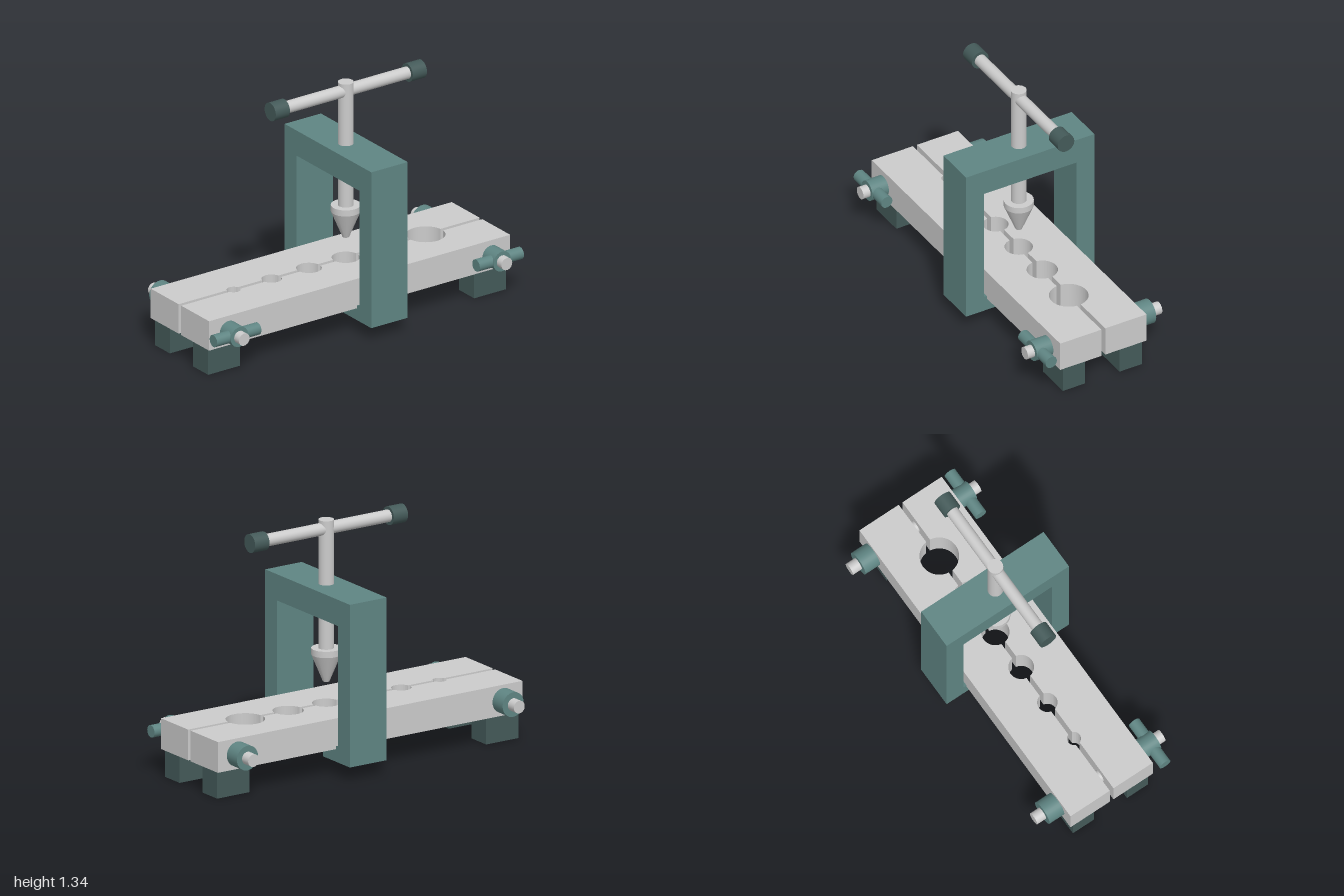
import * as THREE from 'three';
import { toCreasedNormals } from 'three/addons/utils/BufferGeometryUtils.js';

const metal = new THREE.MeshStandardMaterial({ color: 0xcccccc });
const teal = new THREE.MeshStandardMaterial({ color: 0x5f8583 });
const dark = new THREE.MeshStandardMaterial({ color: 0x445a59 });

const CZ = 0.003;       // centre line of the clamp in z
const SCREW_X = 0.1;    // position of the yoke and screw along the bars

export function createModel() {
  const model = new THREE.Group();

  const add = (name, geometry, material, x = 0, y = 0, z = 0) => {
    const mesh = new THREE.Mesh(geometry, material);
    mesh.name = name;
    mesh.position.set(x, y, z);
    model.add(mesh);
    return mesh;
  };
  // Cylinder lying along the x, y or z axis
  const rod = (axis, radius, length) => {
    const g = new THREE.CylinderGeometry(radius, radius, length, 32);
    if (axis === 'x') g.rotateZ(Math.PI / 2);
    if (axis === 'z') g.rotateX(Math.PI / 2);
    return g;
  };

  // Split clamp bars, each with one half of every tube hole: [x, radius]
  const holes = [[-0.63, 0.037], [-0.383, 0.054], [-0.14, 0.068],
    [0.1, 0.075], [0.345, 0.083], [0.62, 0.105]];
  const gap = 0.012;
  const bar = new THREE.Shape();
  bar.moveTo(-0.98, gap);
  for (const [x, r] of holes) {
    const a = Math.asin(gap / r);
    bar.lineTo(x - r * Math.cos(a), gap);
    bar.absarc(x, 0, r, Math.PI - a, a, true);
  }
  bar.lineTo(0.98, gap);
  bar.lineTo(0.98, 0.265);
  bar.lineTo(-0.98, 0.265);
  bar.closePath();
  const barGeometry = () => toCreasedNormals(
    new THREE.ExtrudeGeometry(bar, { depth: 0.17, bevelEnabled: false, curveSegments: 24 }), 0.6);
  add('frontBar', barGeometry().rotateX(Math.PI / 2), metal, 0, 0.32, CZ);
  add('backBar', barGeometry().rotateX(-Math.PI / 2), metal, 0, 0.15, CZ);

  // Feet, bolts and nuts at both ends
  for (const [side, s] of [['left', 1], ['right', -1]]) {
    for (const [end, t] of [['Front', 1], ['Back', -1]]) {
      add(`${side}${end}Foot`, new THREE.BoxGeometry(0.208, 0.15, 0.137), dark,
        s * 0.866, 0.075, CZ + t * 0.174);
    }
    const x = s * 0.855;
    add(`${side}Bolt`, rod('z', 0.035, 0.826), metal, x, 0.234, 0);
    add(`${side}WingNutBody`, rod('z', 0.057, 0.1), teal, x, 0.234, 0.32);
    add(`${side}WingNutHandle`, rod('x', 0.034, 0.288), teal, x, 0.234, 0.334);
    add(`${side}BackNut`, rod('z', 0.068, 0.1), teal, x, 0.234, -0.306);
  }

  // Yoke: an arch whose hooked jaws grip under the bars
  const half = [[0.394, 0.98], [0.394, 0.08], [0.142, 0.08], [0.142, 0.128],
    [0.285, 0.172], [0.285, 0.835]];
  const outline = [...half, ...half.map(([z, y]) => [-z, y]).reverse()];
  const yoke = new THREE.Shape(outline.map(([z, y]) => new THREE.Vector2(z, y)));
  const yokeGeometry = new THREE.ExtrudeGeometry(yoke, { depth: 0.236, bevelEnabled: false });
  yokeGeometry.translate(0, 0, -0.118).rotateY(Math.PI / 2);
  add('yoke', yokeGeometry, teal, SCREW_X + 0.002, 0, CZ);

  // Screw spindle and flaring cone
  add('spindle', rod('y', 0.042, 0.735), metal, SCREW_X, 0.9675, CZ);
  const cone = [[0, 0.44], [0.018, 0.44], [0.08, 0.59], [0.08, 0.625], [0, 0.625]]
    .map(([r, y]) => new THREE.Vector2(r, y));
  add('flaringCone', toCreasedNormals(new THREE.LatheGeometry(cone, 32), 0.35),
    metal, SCREW_X, 0, CZ);

  // Cross handle with end caps
  add('handle', rod('x', 0.034, 0.96), metal, SCREW_X, 1.285, CZ);
  for (const [side, s] of [['left', 1], ['right', -1]]) {
    add(`${side}HandleCap`, rod('x', 0.051, 0.092), dark, SCREW_X + s * 0.446, 1.285, CZ);
  }
  return model;
}
